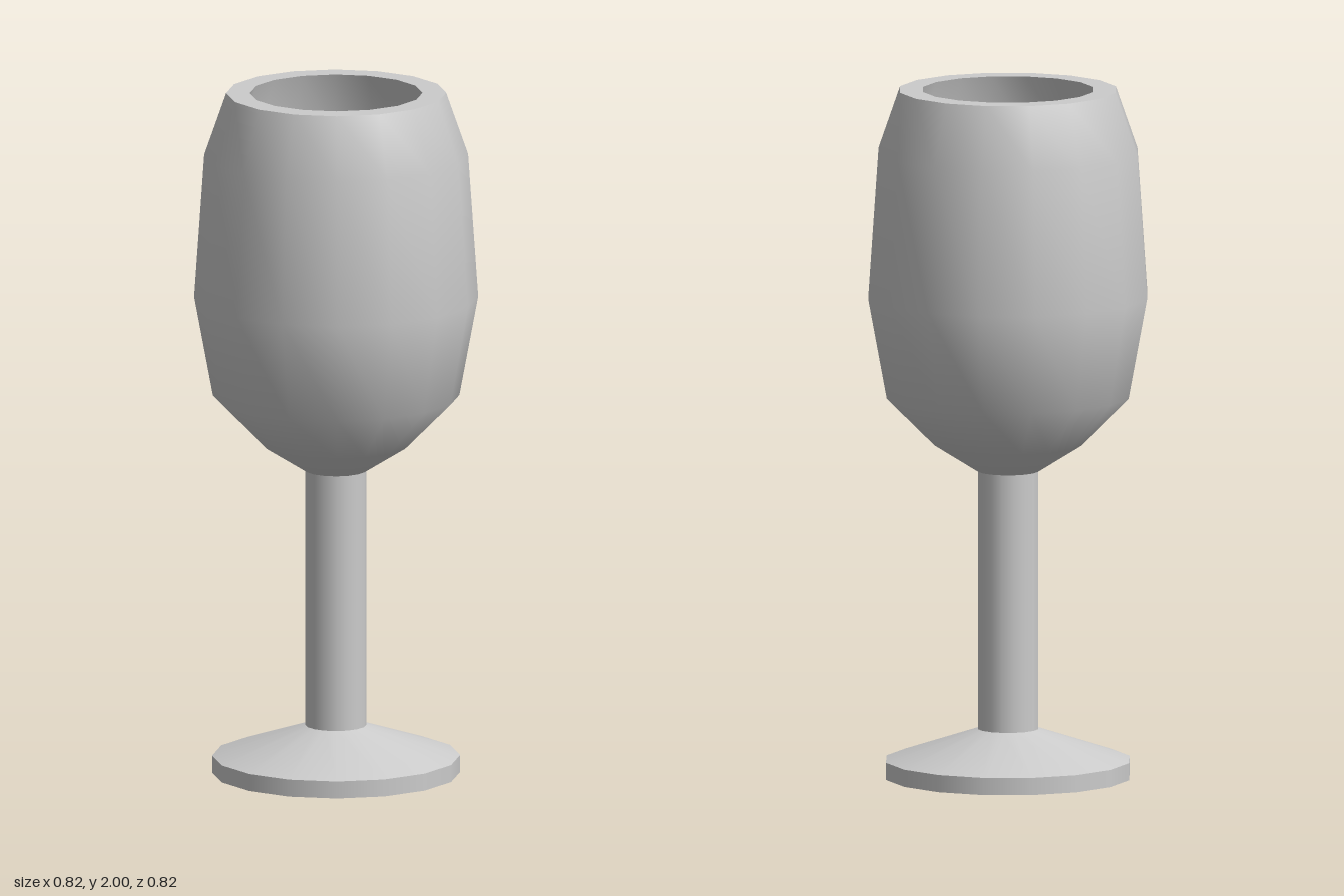
import * as THREE from 'three';

const SIDES = 16;

// Turned part from [radius, height] points; listed upward the surface faces outward
function turned(name, profile, material) {
  const points = profile.map(([r, y]) => new THREE.Vector2(r, y));
  const mesh = new THREE.Mesh(new THREE.LatheGeometry(points, SIDES), material);
  mesh.name = name;
  return mesh;
}

export function createModel() {
  const material = new THREE.MeshStandardMaterial({ color: 0xcccccc });
  const goblet = new THREE.Group();
  goblet.name = 'goblet';

  goblet.add(
    // Foot: flat underside, short vertical edge, sloping top
    turned('footUnderside', [[0, 0], [0.357, 0]], material),
    turned('footEdge', [[0.357, 0], [0.357, 0.05]], material),
    turned('footTop', [[0.357, 0.05], [0.088, 0.14]], material),
    turned('stem', [[0.088, 0.14], [0.088, 0.89]], material),
    // Bowl: outer wall, flat rim, hollow interior
    turned('bowlOutside', [
      [0.088, 0.89], [0.215, 0.97], [0.355, 1.11], [0.409, 1.4], [0.38, 1.82], [0.317, 2],
    ], material),
    turned('rim', [[0.317, 2], [0.249, 2]], material),
    turned('bowlInside', [
      [0.249, 2], [0.315, 1.8], [0.345, 1.4], [0.3, 1.15], [0.18, 1.04], [0, 1],
    ], material),
  );
  return goblet;
}
